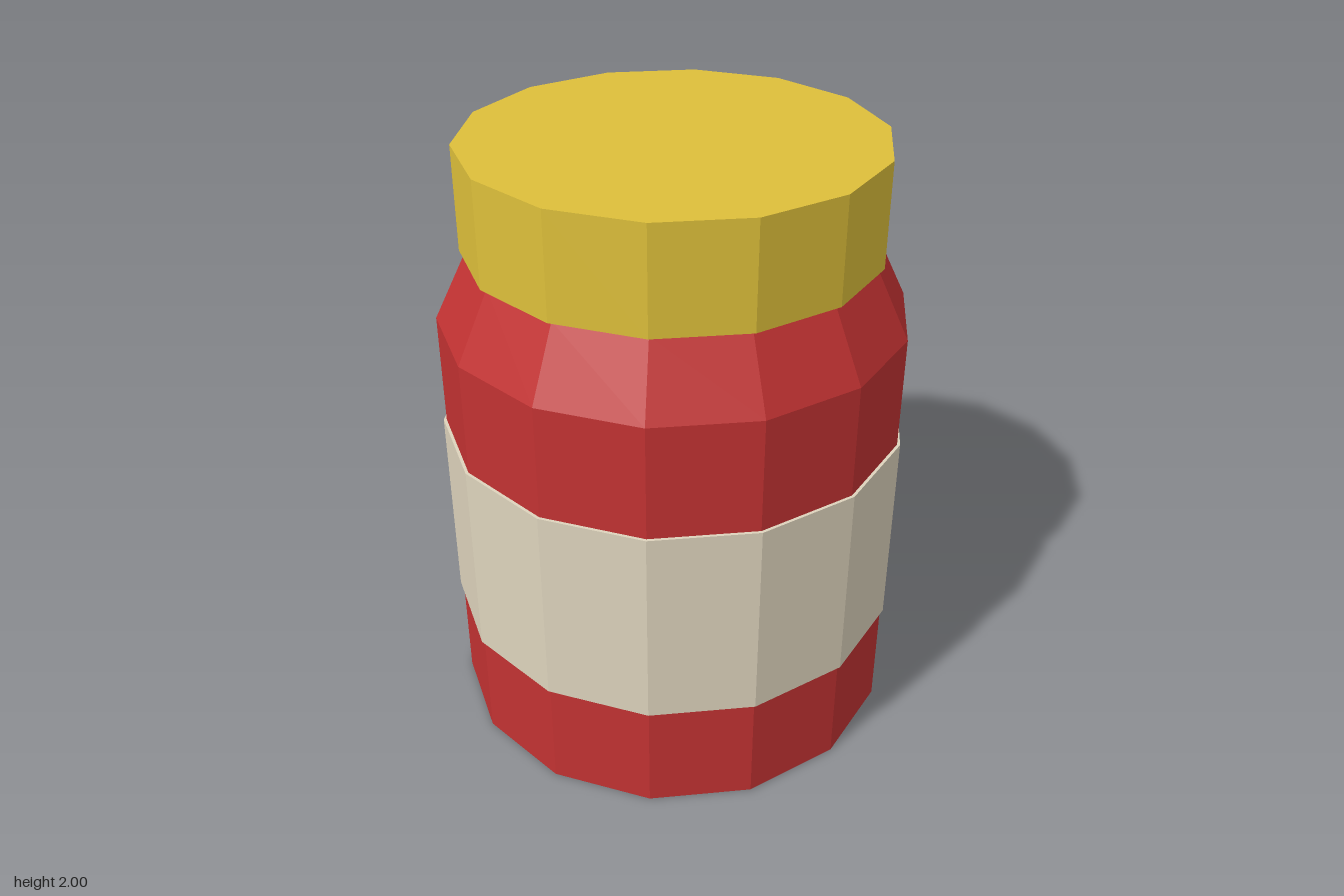
import * as THREE from 'three';

const SIDES = 14;

const material = (name, hex) => {
  const m = new THREE.MeshStandardMaterial({ color: hex });
  m.name = name;
  return m;
};

// Faceted solid turned from a [radius, height] profile, listed bottom to top
function turned(name, profile, mat) {
  const points = profile.map(([r, y]) => new THREE.Vector2(r, y));
  const geometry = new THREE.LatheGeometry(points, SIDES).toNonIndexed();
  geometry.computeVertexNormals(); // one normal per facet
  const mesh = new THREE.Mesh(geometry, mat);
  mesh.name = name;
  return mesh;
}

export function createModel() {
  const red = material('jar red', 0xc23232);
  const cream = material('label cream', 0xddd3bc);
  const yellow = material('lid yellow', 0xddbf3a);

  const jar = new THREE.Group();
  jar.name = 'jar';
  jar.add(
    // straight wall with a sloped shoulder
    turned('body', [[0, 0], [0.755, 0], [0.755, 1.435], [0.645, 1.66], [0, 1.66]], red),
    // thin band wrapped round the wall
    turned('label', [[0.755, 0.38], [0.765, 0.38], [0.765, 1.06], [0.755, 1.06]], cream),
    // flat lid overhanging the neck
    turned('lid', [[0, 1.662], [0.665, 1.662], [0.665, 2], [0, 2]], yellow),
  );
  return jar;
}
